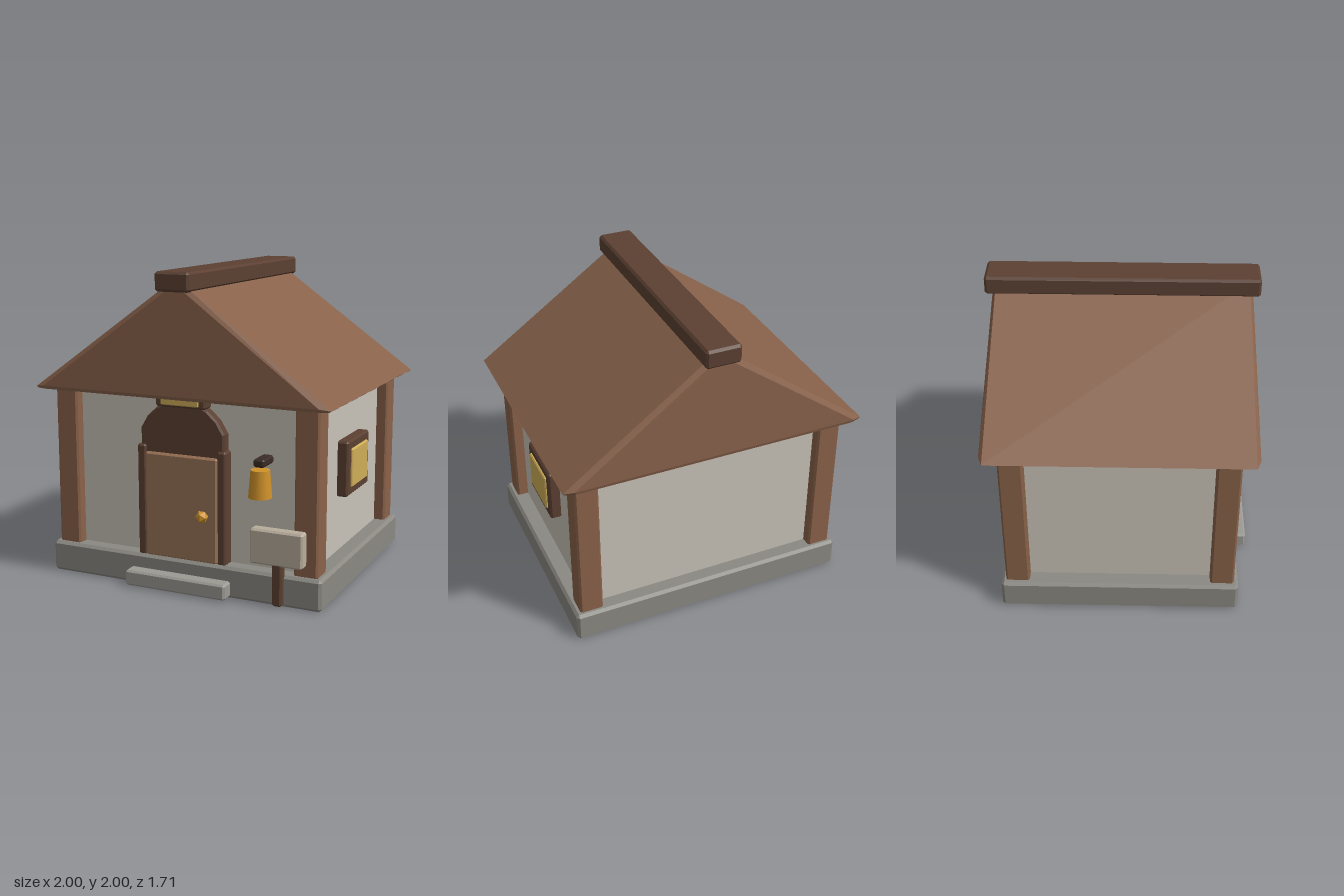
import * as THREE from 'three';
import { ConvexGeometry } from 'three/addons/geometries/ConvexGeometry.js';

const mat = (color, flatShading = true) => new THREE.MeshStandardMaterial({ color, flatShading });
const timber = mat(0x8a6249), roofWood = mat(0x87614a), dark = mat(0x5b4032), iron = mat(0x3a2c26);
const plaster = mat(0xc9c3b8), stone = mat(0x8b8982), paleStone = mat(0x9c9a94);
const doorWood = mat(0x9a7356), gold = mat(0xd0922a), glass = mat(0xcfae58), board = mat(0xb8ad9c);

// Box given by its extents, with every edge chamfered by c
function chamferBox(x0, x1, y0, y1, z0, z1, c = 0.012) {
  const points = [];
  for (const [x, sx] of [[x0, 1], [x1, -1]])
    for (const [y, sy] of [[y0, 1], [y1, -1]])
      for (const [z, sz] of [[z0, 1], [z1, -1]])
        points.push(
          new THREE.Vector3(x, y + sy * c, z + sz * c),
          new THREE.Vector3(x + sx * c, y, z + sz * c),
          new THREE.Vector3(x + sx * c, y + sy * c, z));
  return new ConvexGeometry(points);
}

export function createModel() {
  const house = new THREE.Group();
  house.name = 'cottage';
  const add = (name, geometry, material, parent = house) => {
    const mesh = new THREE.Mesh(geometry, material);
    mesh.name = name;
    parent.add(mesh);
    return mesh;
  };
  const group = (name) => {
    const g = new THREE.Group();
    g.name = name;
    house.add(g);
    return g;
  };

  // Foundation, front step and walls
  add('foundation', chamferBox(-0.94, 0.94, 0, 0.2, -0.77, 0.77, 0.018), stone);
  add('frontStep', chamferBox(-0.35, 0.345, 0.01, 0.11, 0.7, 0.857), paleStone);
  add('walls', chamferBox(-0.83, 0.83, 0.18, 1.25, -0.67, 0.67, 0.01), plaster);

  // Corner posts
  const posts = group('cornerPosts');
  for (const sx of [-1, 1])
    for (const sz of [-1, 1]) {
      const post = add('cornerPost', chamferBox(-0.077, 0.077, 0.19, 1.25, -0.077, 0.077), timber, posts);
      post.position.set(sx * 0.828, 0, sz * 0.663);
    }

  // Solid roof: gable section with leaning ends and chamfered rims
  const roofPoints = [];
  for (const sx of [-1, 1])
    for (const sz of [-1, 1])
      for (const [x, y, z] of [
        [0.985, 1.23, 0.815], [1, 1.24, 0.815], [0.03, 1.94, 0.79],
        [0.92, 1.23, 0.835], [0.935, 1.25, 0.84], [0.02, 1.91, 0.81]])
        roofPoints.push(new THREE.Vector3(sx * x, y, sz * z));
  add('roof', new ConvexGeometry(roofPoints), roofWood);
  add('ridgeBeam', chamferBox(-0.115, 0.115, 1.88, 2, -0.855, 0.855, 0.015), dark);

  // Doorway with an arched surround
  const doorway = group('doorway');
  const arch = new THREE.Shape();
  arch.moveTo(-0.275, 0.2);
  arch.lineTo(0.275, 0.2);
  for (let i = 0; i <= 8; i++) {
    const a = THREE.MathUtils.degToRad(22.5 + (135 * i) / 8);
    arch.lineTo(Math.cos(a) * 0.298, 0.9 + Math.sin(a) * 0.298);
  }
  const archGeometry = new THREE.ExtrudeGeometry(arch, {
    depth: 0.075, bevelThickness: 0.012, bevelSize: 0.012, bevelSegments: 1 });
  archGeometry.translate(0, 0, 0.648);
  add('doorArch', archGeometry, dark, doorway);
  for (const s of [-1, 1])
    add('doorJamb', chamferBox(s * 0.275 - 0.03, s * 0.275 + 0.03, 0.19, 0.915, 0.64, 0.752), dark, doorway);
  add('door', chamferBox(-0.25, 0.25, 0.195, 0.87, 0.65, 0.757), doorWood, doorway);
  add('doorKnob', new THREE.IcosahedronGeometry(0.041, 0), gold, doorway).position.set(0.155, 0.5, 0.773);

  // Small window tucked under the front gable
  const gableWindow = group('gableWindow');
  add('gableWindowFrame', chamferBox(-0.17, 0.17, 1.165, 1.45, 0.65, 0.756), dark, gableWindow);
  add('gableWindowPane', chamferBox(-0.13, 0.13, 1.18, 1.41, 0.7, 0.768, 0.006), glass, gableWindow);

  // Side window
  const sideWindow = group('sideWindow');
  add('sideWindowFrame', chamferBox(0.8, 0.9, 0.565, 0.925, -0.207, 0.207), dark, sideWindow);
  add('sideWindowPane', chamferBox(0.85, 0.914, 0.62, 0.872, -0.153, 0.153, 0.008), glass, sideWindow);

  // Wall lantern below its bracket
  const lantern = group('wallLantern');
  add('lanternBracket', chamferBox(0.513, 0.587, 0.862, 0.913, 0.66, 0.815), iron, lantern);
  add('lanternShade', new THREE.CylinderGeometry(0.059, 0.073, 0.17, 12), mat(0xd0922a, false), lantern)
    .position.set(0.55, 0.76, 0.784);

  // Signboard on a stake
  const sign = group('signpost');
  add('signStake', chamferBox(0.635, 0.7, 0.01, 0.3, 0.745, 0.808), dark, sign);
  add('signBoard', chamferBox(0.492, 0.835, 0.265, 0.485, 0.735, 0.815), board, sign);

  return house;
}
